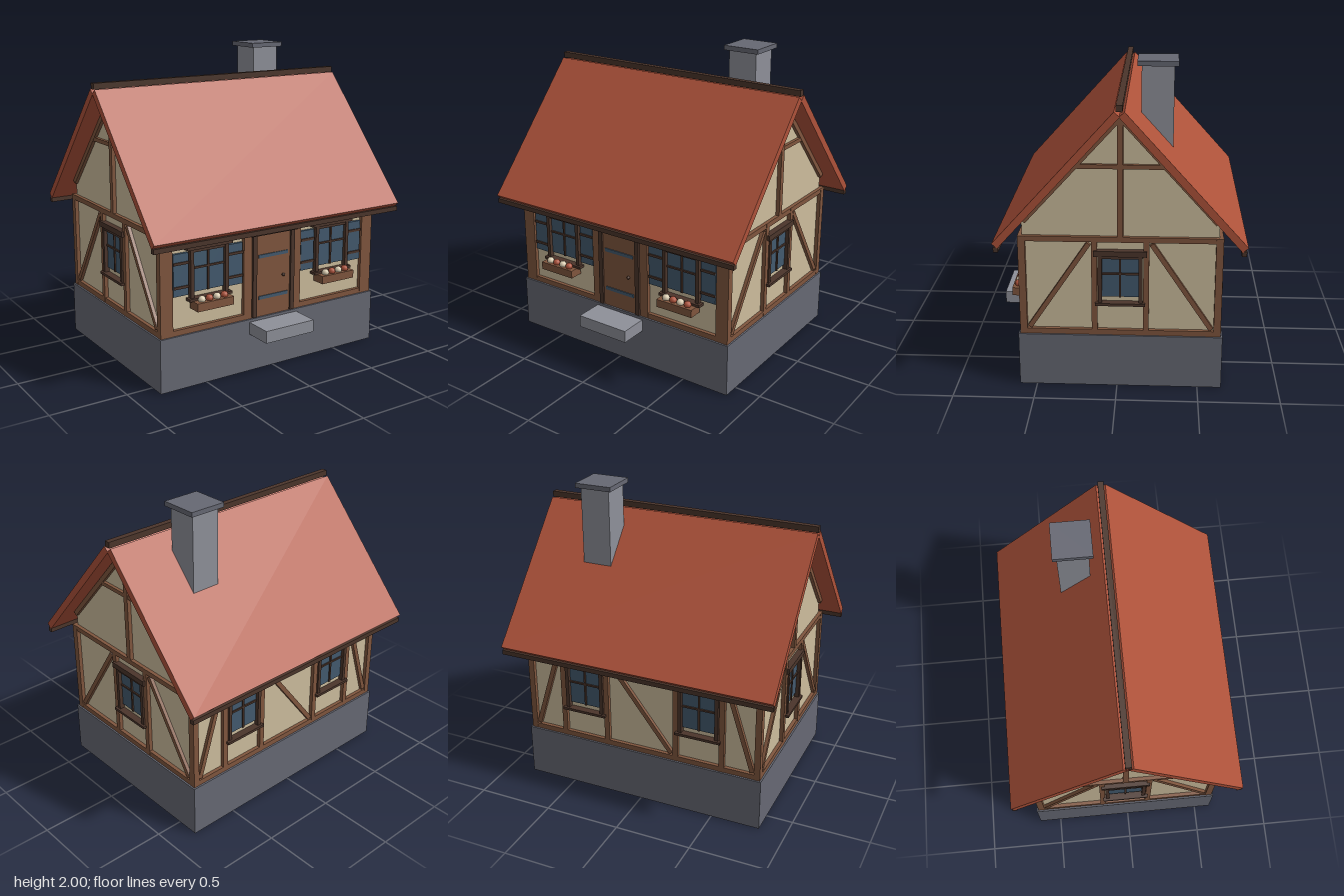
import * as THREE from 'three';

const mat = (name, color) => Object.assign(new THREE.MeshStandardMaterial({ color }), { name });
const M = {
  stone: mat('stone', 0x666873),
  paleStone: mat('paleStone', 0x8e9099),
  plaster: mat('plaster', 0xcdbd9d),
  timber: mat('timber', 0x80563e),
  darkWood: mat('darkWood', 0x4b352b),
  tile: mat('tile', 0xae523a),
  blue: mat('blue', 0x435a6e),
  petal: mat('petal', 0xded0b4),
};

// Half sizes of the plastered walls, and key heights
const WX = 0.79, WZ = 0.592, Y0 = 0.345, Y1 = 0.99, EAVE = 1.09, APEX = 1.742;
const PROUD = 0.025; // how far timbers stand out from the plaster

function box(parent, name, m, x0, x1, y0, y1, z0, z1) {
  const mesh = new THREE.Mesh(new THREE.BoxGeometry(x1 - x0, y1 - y0, z1 - z0), m);
  mesh.position.set((x0 + x1) / 2, (y0 + y1) / 2, (z0 + z1) / 2);
  mesh.name = name;
  parent.add(mesh);
  return mesh;
}

// Straight timber between two points on a wall
function beam(wall, name, xa, ya, xb, yb, width = 0.03) {
  const len = Math.hypot(xb - xa, yb - ya);
  const d = PROUD - 0.003;
  const mesh = new THREE.Mesh(new THREE.BoxGeometry(len, width, d), M.timber);
  mesh.position.set((xa + xb) / 2, (ya + yb) / 2, d / 2);
  mesh.rotation.z = Math.atan2(yb - ya, xb - xa);
  mesh.name = name;
  wall.add(mesh);
}

const post = (wall, x, w, name = 'post') =>
  box(wall, name, M.timber, x - w / 2, x + w / 2, Y0, Y1, 0, PROUD);

// A wall group: x runs along the wall, z points outward
function makeWall(house, name, angle, dist, half) {
  const wall = new THREE.Group();
  wall.name = name;
  wall.rotation.y = angle;
  wall.position.set(Math.sin(angle) * dist, 0, Math.cos(angle) * dist);
  house.add(wall);
  box(wall, 'sillBeam', M.timber, -half, half, Y0, 0.38, 0, PROUD - 0.001);
  box(wall, 'topBeam', M.timber, -half, half, 0.957, Y1, 0, PROUD - 0.001);
  return wall;
}

function addWindow(wall, x) {
  const g = new THREE.Group();
  g.name = 'window';
  g.position.x = x;
  wall.add(g);
  box(g, 'glass', M.blue, -0.113, 0.113, 0.597, 0.856, 0, 0.009);
  for (const s of [-1, 1])
    box(g, 'windowJamb', M.darkWood, s * 0.123 - 0.012, s * 0.123 + 0.012, 0.56, 0.875, 0, 0.033);
  box(g, 'topFrame', M.darkWood, -0.113, 0.113, 0.852, 0.875, 0, 0.03);
  box(g, 'mullion', M.darkWood, -0.006, 0.006, 0.597, 0.856, 0, 0.018);
  box(g, 'glazingBar', M.darkWood, -0.113, 0.113, 0.744, 0.756, 0, 0.018);
  box(g, 'windowHead', M.darkWood, -0.16, 0.16, 0.87, 0.905, 0, 0.04);
  box(g, 'windowSill', M.darkWood, -0.152, 0.152, 0.55, 0.567, 0, 0.048);
  return g;
}

function addShuttersAndFlowers(g) {
  for (const s of [-1, 1]) {
    const c = s * 0.195;
    box(g, 'shutter', M.blue, c - 0.052, c + 0.052, 0.59, 0.856, 0, 0.018);
    for (const y of [0.645, 0.795])
      box(g, 'shutterBatten', M.darkWood, c - 0.052, c + 0.052, y - 0.008, y + 0.008, 0.018, 0.025);
  }
  box(g, 'flowerBox', M.timber, -0.13, 0.13, 0.5, 0.552, 0.01, 0.102);
  [-0.08, -0.027, 0.027, 0.08].forEach((x, i) => {
    const f = new THREE.Mesh(new THREE.IcosahedronGeometry(0.024, 1), i % 2 ? M.tile : M.petal);
    f.position.set(x, 0.563, 0.068);
    f.name = 'flower';
    g.add(f);
  });
}

function addDoor(wall) {
  const g = new THREE.Group();
  g.name = 'door';
  wall.add(g);
  box(g, 'doorLeaf', M.timber, -0.132, 0.132, 0.362, 0.885, 0, 0.024 + 0.004);
  for (const s of [-1, 1])
    box(g, 'doorJamb', M.darkWood, s * 0.145 - 0.015, s * 0.145 + 0.015, 0.35, 0.89, 0, 0.04);
  box(g, 'doorLintel', M.darkWood, -0.175, 0.175, 0.885, 0.925, 0, 0.048);
  for (const y of [0.472, 0.745])
    box(g, 'doorHinge', M.blue, -0.112, 0.112, y - 0.011, y + 0.011, 0.028, 0.034);
  const knob = new THREE.Mesh(new THREE.SphereGeometry(0.011, 10, 8), M.darkWood);
  knob.position.set(0.076, 0.597, 0.036);
  knob.name = 'doorKnob';
  g.add(knob);
}

export function createModel() {
  const model = new THREE.Group();
  const house = new THREE.Group();
  house.name = 'cottage';
  house.position.z = -0.02;
  model.add(house);

  // Plinth and step
  box(house, 'foundation', M.stone, -0.825, 0.825, 0, Y0, -0.628, 0.628);
  box(house, 'doorStep', M.paleStone, -0.183, 0.183, 0.247, 0.327, 0.6, 0.812);

  // Plastered body with gables, extruded along x
  const s = new THREE.Shape([[-WZ, Y0], [WZ, Y0], [WZ, EAVE], [0, APEX], [-WZ, EAVE]]
    .map(([x, y]) => new THREE.Vector2(x, y)));
  const bodyGeo = new THREE.ExtrudeGeometry(s, { depth: 2 * WX, bevelEnabled: false });
  bodyGeo.translate(0, 0, -WX).rotateY(Math.PI / 2);
  const body = new THREE.Mesh(bodyGeo, M.plaster);
  body.name = 'plasterWalls';
  house.add(body);

  // Front wall: door, windows with shutters and flower boxes
  const front = makeWall(house, 'frontWall', 0, WZ, WX);
  for (const k of [-1, 1]) {
    post(front, k * 0.772, 0.086, 'cornerPost');
    post(front, k * 0.188, 0.062, 'doorPost');
    addShuttersAndFlowers(addWindow(front, k * 0.473));
  }
  addDoor(front);

  // Back wall: two windows, outer braces and one middle brace
  const back = makeWall(house, 'backWall', Math.PI, WZ, WX);
  for (const k of [-1, 1]) {
    post(back, k * 0.795, 0.04, 'cornerPost');
    for (const d of [-0.157, 0.157]) post(back, k * 0.4 + d, 0.035);
    addWindow(back, k * 0.4);
    beam(back, 'brace', k * 0.762, 0.39, k * 0.588, 0.945);
  }
  beam(back, 'middleBrace', -0.212, 0.945, 0.212, 0.39);

  // Gable walls
  for (const k of [-1, 1]) {
    const side = makeWall(house, k > 0 ? 'leftGable' : 'rightGable', k * Math.PI / 2, WX, WZ);
    addWindow(side, 0);
    for (const j of [-1, 1]) {
      post(side, j * 0.594, 0.043, 'cornerPost');
      post(side, j * 0.157, 0.035);
      beam(side, 'brace', j * 0.557, 0.39, j * 0.19, 0.945);
      beam(side, 'gableRafter', j * 0.58, 1.08, 0, 1.72);
    }
    box(side, 'kingPost', M.timber, -0.018, 0.018, Y1, 1.72, 0, PROUD);
    box(side, 'collarBeam', M.timber, -0.275, 0.275, 1.414, 1.44, 0, PROUD - 0.004);
  }

  // Roof slopes, eave boards and ridge
  for (const k of [-1, 1]) {
    const slab = new THREE.Mesh(new THREE.BoxGeometry(1.845, 0.045, 1.08), M.tile);
    slab.position.set(0, 1.366, k * 0.375);
    slab.rotation.x = k * THREE.MathUtils.degToRad(48);
    slab.name = 'roofSlope';
    house.add(slab);
    box(house, 'eaveBoard', M.darkWood, -0.922, 0.922, 0.926, 0.956, k * 0.73 - 0.015, k * 0.73 + 0.015);
  }
  box(house, 'ridgeBeam', M.darkWood, -0.9225, 0.9225, 1.782, 1.82, -0.019, 0.019);

  // Chimney
  box(house, 'chimneyShaft', M.paleStone, 0.342, 0.537, 1.42, 1.97, -0.31, -0.115);
  box(house, 'chimneyCap', M.stone, 0.317, 0.562, 1.97, 2, -0.335, -0.09);

  return model;
}
